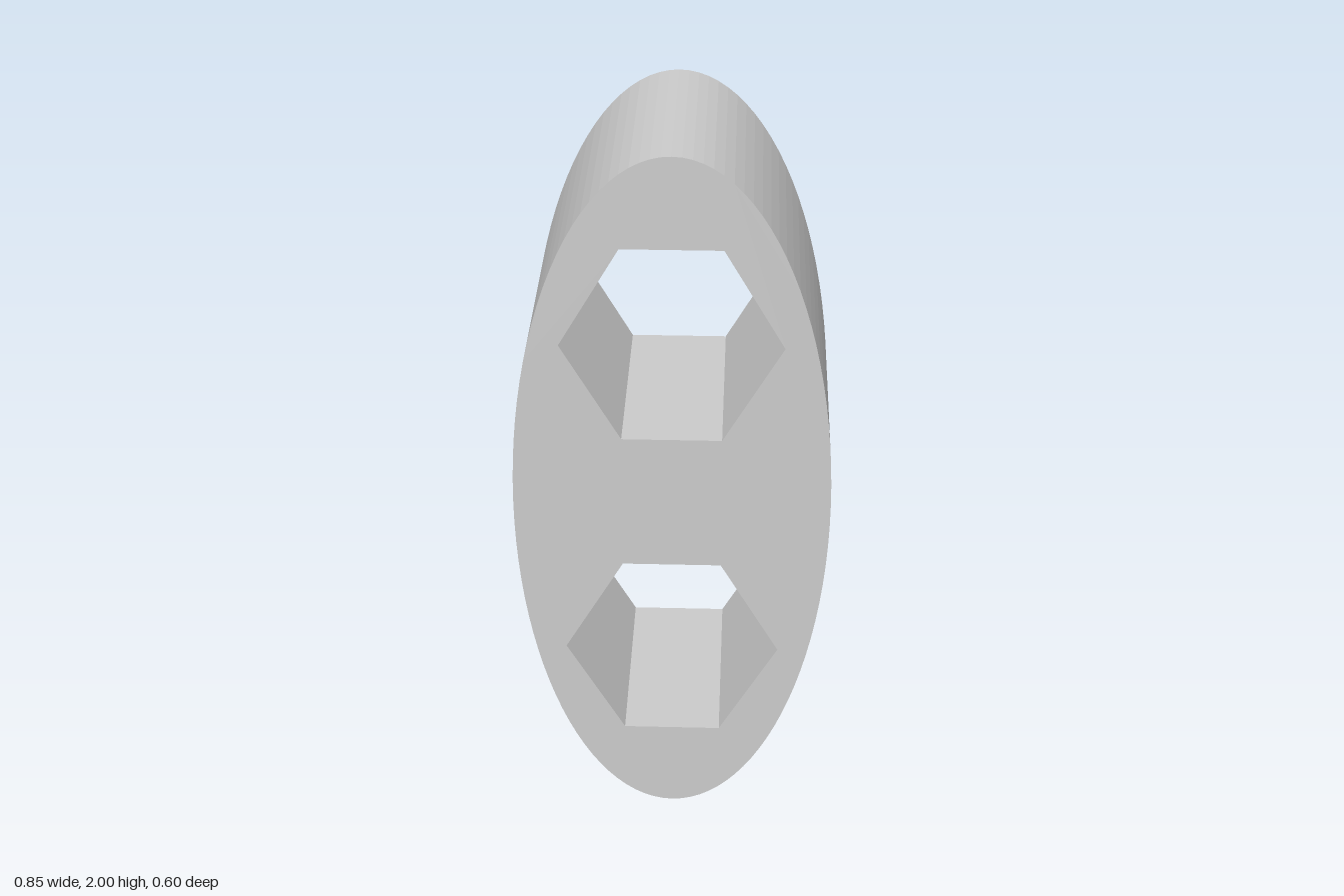
import * as THREE from 'three';

const DEPTH = 0.6;

// Points around an ellipse
function ring(rx, ry, cy, n) {
  return Array.from({ length: n }, (_, i) => {
    const a = (i / n) * Math.PI * 2;
    return new THREE.Vector2(rx * Math.cos(a), cy + ry * Math.sin(a));
  });
}

// Hexagonal opening with flat top and bottom
function hexagon(cy) {
  const w = 0.293, f = 0.133, h = 0.275;
  const corners = [[w, 0], [f, h], [-f, h], [-w, 0], [-f, -h], [f, -h]];
  return new THREE.Path(corners.map(([x, y]) => new THREE.Vector2(x, cy + y)));
}

export function createModel() {
  const group = new THREE.Group();
  group.name = 'ovalLink';

  // Oval plate with two through holes
  const outline = new THREE.Shape(ring(0.425, 1, 1, 100));
  for (const cy of [0.533, 1.473]) outline.holes.push(hexagon(cy));

  const geometry = new THREE.ExtrudeGeometry(outline, { depth: DEPTH, bevelEnabled: false });
  geometry.translate(0, 0, -DEPTH / 2);

  const material = new THREE.MeshStandardMaterial({ color: 0xcccccc, flatShading: true });
  const plate = new THREE.Mesh(geometry, material);
  plate.name = 'ovalPlate';
  group.add(plate);
  return group;
}
